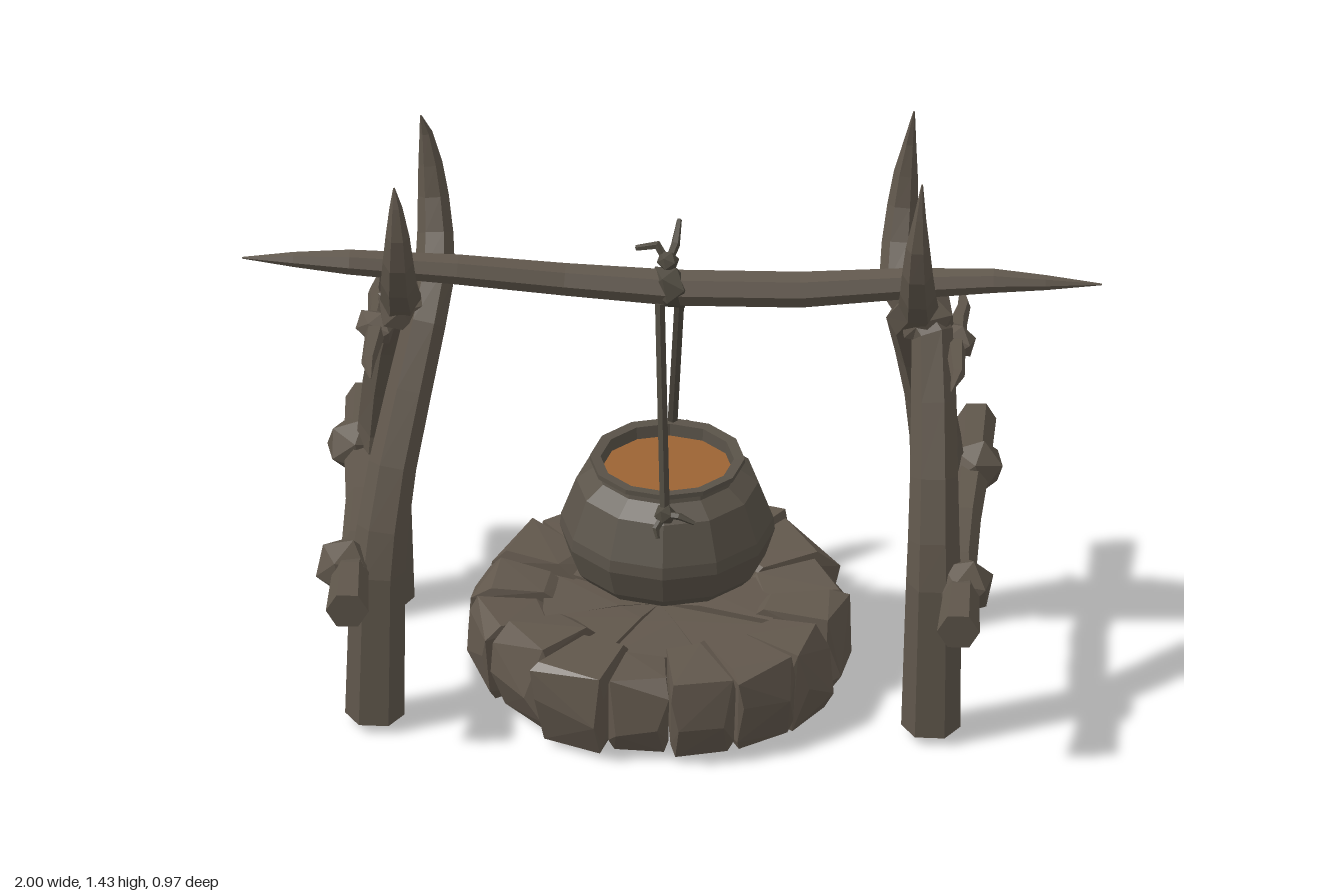
import * as THREE from 'three';
import { ConvexGeometry } from 'three/addons/geometries/ConvexGeometry.js';

const mat = (name, color, side = THREE.FrontSide) => {
  const m = new THREE.MeshStandardMaterial({ color, flatShading: true, side });
  m.name = name;
  return m;
};

// Capped limb with a radius at every point: [x, y, z, r]
function limbGeometry(points, sides) {
  const P = points.map(p => new THREE.Vector3(p[0], p[1], p[2]));
  const n = P.length, pos = [], idx = [];
  const dir = P[n - 1].clone().sub(P[0]);
  const a = [Math.abs(dir.x), Math.abs(dir.y), Math.abs(dir.z)];
  const ref = new THREE.Vector3().setComponent(a.indexOf(Math.min(...a)), 1);
  for (let i = 0; i < n; i++) {
    const t = P[Math.min(i + 1, n - 1)].clone().sub(P[Math.max(i - 1, 0)]).normalize();
    const u = ref.clone().cross(t).normalize(), v = t.clone().cross(u);
    for (let j = 0; j < sides; j++) {
      const ang = ((j + 0.5) / sides) * Math.PI * 2;
      const q = P[i].clone().addScaledVector(u, Math.cos(ang) * points[i][3])
        .addScaledVector(v, Math.sin(ang) * points[i][3]);
      pos.push(q.x, q.y, q.z);
    }
  }
  pos.push(...P[0].toArray(), ...P[n - 1].toArray());
  for (let j = 0; j < sides; j++) {
    const k = (j + 1) % sides, e = (n - 1) * sides;
    for (let i = 0; i < n - 1; i++) {
      const b = i * sides, c = b + sides;
      idx.push(b + j, b + k, c + k, b + j, c + k, c + j);
    }
    idx.push(n * sides, k, j, n * sides + 1, e + j, e + k);
  }
  const g = new THREE.BufferGeometry();
  g.setAttribute('position', new THREE.Float32BufferAttribute(pos, 3));
  g.setIndex(idx);
  g.computeVertexNormals();
  return g;
}

export function createModel() {
  const wood = mat('wood', 0x5f564b);
  const stone = mat('stone', 0x61574c);
  const iron = mat('iron', 0x595248, THREE.DoubleSide);
  const rope = mat('rope', 0x4e493f);
  const soup = mat('soup', 0x9c6434);

  const model = new THREE.Group();
  model.name = 'campfireCookingSpit';
  let seed = 7;
  const rand = () => (seed = (seed * 16807) % 2147483647) / 2147483647;
  const jit = s => (rand() - 0.5) * 2 * s;

  const add = (parent, name, geometry, material) => {
    const m = new THREE.Mesh(geometry, material);
    m.name = name;
    parent.add(m);
    return m;
  };
  const limb = (parent, name, pts, sides, material) => add(parent, name, limbGeometry(pts, sides), material);
  // Faceted lump used for lashings and knots
  const knot = (parent, name, p, s, material, turn = 0.4) => {
    const m = add(parent, name, new THREE.IcosahedronGeometry(1, 0), material);
    m.position.set(...p);
    m.scale.set(...s);
    m.rotation.set(turn, turn * 2, 0);
  };

  // Crossed-leg supports; o is +1 on the model's left, -1 on its right
  function support(o, name, foot, top, horn, spread, barX, barY) {
    const g = new THREE.Group();
    g.name = name;
    model.add(g);
    for (const side of [1, -1]) {
      // the two legs pass each other on either side of the crossing
      const mid = (k, w) => foot + (top - foot) * k + side * 0.03 * w;
      const hx = (w, lean) => horn + side * spread * w + o * lean;
      limb(g, side > 0 ? 'frontLeg' : 'backLeg', [
        [foot, 0.02, side * 0.268 + 0.008, 0.069],
        [mid(0, 0.2), 0.4, side * 0.26 + 0.005, 0.064],
        [mid(0.1, 0.3), 0.5, side * 0.242, 0.06],
        [mid(0.3, 0.5), 0.64, side * 0.192, 0.056],
        [mid(0.65, 0.8), 0.8, side * 0.117, 0.053],
        [mid(1, 1), 0.94, side * 0.035 + 0.012, 0.05],
        [hx(1.1, 0.003), 1.03, side * -0.055 + 0.02, 0.047],
        [hx(1.1, 0.005), 1.1, side * -0.118 + 0.024, 0.042],
        [hx(1, 0.008), 1.18, side * -0.158 + 0.026, 0.036],
        [hx(0.9, 0.012), 1.26, side * -0.173 + 0.028, 0.028],
        [hx(0.8, 0.019), 1.34, side * -0.175 + 0.028, 0.015],
        [hx(0.7, 0.027), o > 0 ? 1.43 : 1.39, side * -0.168 + 0.032, 0.002],
      ], 6, wood);
      knot(g, 'crossbarLashing', [(foot + barX) / 2 + o * 0.043, barY + 0.012, side * 0.278 + 0.006], [0.074, 0.068, 0.07], wood, side * 0.5);
    }
    // Sagging crossbar on the outer side
    limb(g, 'crossbar', [
      [barX, barY + 0.005, 0.483, 0.05], [barX, barY + 0.015, 0.34, 0.043],
      [barX - o * 0.01, barY - 0.015, 0.14, 0.038], [barX - o * 0.01, barY - 0.022, -0.08, 0.038],
      [barX, barY + 0.01, -0.3, 0.042], [barX, barY + 0.015, -0.483, 0.046],
    ], 6, wood);
    // Splintered peg tied across the fork
    const px = top + o * 0.085;
    limb(g, 'forkPeg', [
      [px, 0.92, 0.275, 0.002], [px + o * 0.01, 0.905, 0.17, 0.017], [px, 0.91, 0.05, 0.024],
      [px, 0.9, -0.08, 0.022], [px + o * 0.01, 0.897, -0.16, 0.016], [px, 0.905, -0.245, 0.002],
    ], 5, wood);
    knot(g, 'pegLashing', [px, 0.91, 0.02], [0.042, 0.038, 0.055], wood);
    knot(g, 'forkLashing', [top + o * 0.015, 0.97, 0.015], [0.075, 0.07, 0.075], wood, 0.7);
  }
  support(1, 'leftSupport', 0.612, 0.575, 0.545, -0.024, 0.685, 0.39);
  support(-1, 'rightSupport', -0.68, -0.605, -0.588, 0.034, -0.735, 0.41);

  // Long pole resting in the forks
  limb(model, 'spitPole', [
    [-1, 1.085, 0.015, 0.002], [-0.88, 1.088, 0.022, 0.018], [-0.75, 1.088, 0.028, 0.03],
    [-0.5, 1.073, 0.025, 0.036], [-0.25, 1.05, 0.02, 0.039], [0, 1.04, 0.03, 0.043],
    [0.3, 1.045, 0.035, 0.043], [0.55, 1.068, 0.035, 0.037], [0.75, 1.083, 0.04, 0.029],
    [0.87, 1.085, 0.047, 0.018], [1, 1.085, 0.05, 0.002],
  ], 7, wood);

  // Hanging ropes, knots and loose ends
  const ropes = new THREE.Group();
  ropes.name = 'ropes';
  model.add(ropes);
  knot(ropes, 'poleKnot', [-0.005, 1.04, 0.03], [0.045, 0.062, 0.058], rope);
  knot(ropes, 'poleKnotTop', [-0.01, 1.105, 0.02], [0.026, 0.024, 0.028], rope);
  limb(ropes, 'looseEnd', [[-0.01, 1.1, 0.02, 0.01], [-0.035, 1.135, 0, 0.011], [-0.085, 1.12, -0.01, 0.007]], 5, rope);
  limb(ropes, 'looseEnd', [[-0.01, 1.1, 0.02, 0.01], [0.005, 1.12, -0.03, 0.011], [0.012, 1.155, -0.085, 0.006]], 5, rope);
  for (const s of [1, -1]) {
    const z = s * 0.19 - 0.012;
    limb(ropes, 'hangingRope', [[s * -0.022 - 0.005, 1.01, 0.03 + s * 0.025, 0.012], [-0.01, 0.52, z, 0.012]], 5, rope);
    knot(ropes, 'potKnot', [-0.01, 0.515, z], [0.026, 0.028, 0.026], rope);
    limb(ropes, 'looseEnd', [[-0.01, 0.515, z, 0.009], [0.025, 0.525, z + s * 0.025, 0.009], [0.06, 0.51, z + s * 0.03, 0.005]], 5, rope);
    limb(ropes, 'looseEnd', [[-0.01, 0.515, z, 0.009], [-0.03, 0.49, z + s * 0.025, 0.009], [-0.025, 0.47, z + s * 0.035, 0.005]], 5, rope);
  }

  // Round-bellied pot, open at the top
  const profile = [[0, 0.275], [0.205, 0.275], [0.228, 0.3], [0.25, 0.37], [0.247, 0.4], [0.212, 0.495],
    [0.168, 0.527], [0.165, 0.54], [0.18, 0.545], [0.18, 0.557], [0.155, 0.555], [0.15, 0.5]];
  const pot = new THREE.Group();
  pot.name = 'pot';
  pot.position.set(-0.013, 0, -0.015);
  model.add(pot);
  add(pot, 'potBody', new THREE.LatheGeometry(profile.map(p => new THREE.Vector2(...p)), 12), iron);
  const broth = add(pot, 'broth', new THREE.CircleGeometry(0.154, 12), soup);
  broth.rotation.x = -Math.PI / 2;
  broth.position.y = 0.525;

  // Fire ring of chipped wedge stones: [outer x, outer z, height]
  const stones = [[0.17, -0.43, 0.22], [-0.07, -0.42, 0.225], [-0.26, -0.36, 0.22], [-0.39, -0.22, 0.23],
    [-0.46, -0.05, 0.22], [-0.45, 0.12, 0.21], [-0.36, 0.27, 0.23], [-0.22, 0.42, 0.225], [-0.06, 0.43, 0.21],
    [0.09, 0.44, 0.215], [0.24, 0.37, 0.22], [0.35, 0.23, 0.215], [0.4, 0.07, 0.22], [0.39, -0.1, 0.21],
    [0.32, -0.28, 0.215]];
  const ring = new THREE.Group();
  ring.name = 'fireRing';
  ring.position.set(-0.03, 0, 0.008);
  model.add(ring);
  // Wedge corner at radius r, turned a from the stone's own angle
  const polar = (ang, r, a, y) => new THREE.Vector3(Math.cos(ang + a) * r, y, Math.sin(ang + a) * r);
  const angles = stones.map(([x, z]) => Math.atan2(z, x + 0.03));
  const gap = (i, j) => {
    const d = angles[j] - angles[i];
    return Math.atan2(Math.sin(d), Math.cos(d)) / 2;
  };
  stones.forEach(([x, z, h], i) => {
    const ang = angles[i], outer = Math.hypot(x + 0.03, z) + 0.012, n = stones.length;
    // each side reaches almost to the neighbouring stone
    const edges = [gap(i, (i + 1) % n), gap(i, (i + n - 1) % n)];
    const inner = 0.235 + jit(0.025), low = i === 11 ? 0 : 0.015;
    const pts = [];
    for (const e of edges) {
      const w = e * 0.97;
      pts.push(
        polar(ang, outer - 0.03 + jit(0.02), w, low + 0.03),
        polar(ang, outer - 0.035, w * 0.85, low),
        polar(ang, outer, w * (0.72 + jit(0.2)), 0.1 + jit(0.05)),
        polar(ang, outer - 0.015 + jit(0.015), w, h - 0.04 + jit(0.025)),
        polar(ang, outer - 0.035 + jit(0.025), w * 0.92, h),
        // the hollow inside widens towards the ground
        polar(ang, inner + 0.09 + jit(0.02), w * 0.95, low + 0.015),
        polar(ang, inner + 0.03, w * 0.95, 0.11 + jit(0.02)),
        polar(ang, inner - 0.01, w * 0.95, h - 0.04),
        polar(ang, inner + 0.03, w * 0.95, h - 0.01 + jit(0.006)));
    }
    add(ring, 'ringStone', new ConvexGeometry(pts), stone);
  });
  // Hearth slabs bridging the hollow of the ring
  for (let i = 0; i < 8; i++) {
    const ang = (i / 8) * Math.PI * 2, y = 0.195 + jit(0.01), pts = [];
    for (const w of [-0.39, 0.39]) {
      pts.push(polar(ang, 0.29, w, y), polar(ang, 0.28, w, y - 0.05),
        polar(ang, 0.1, w, y - 0.01 + jit(0.008)), polar(ang, 0, w, 0.175), polar(ang, 0, w, 0.145));
    }
    add(ring, 'hearthSlab', new ConvexGeometry(pts), stone);
  }

  return model;
}
